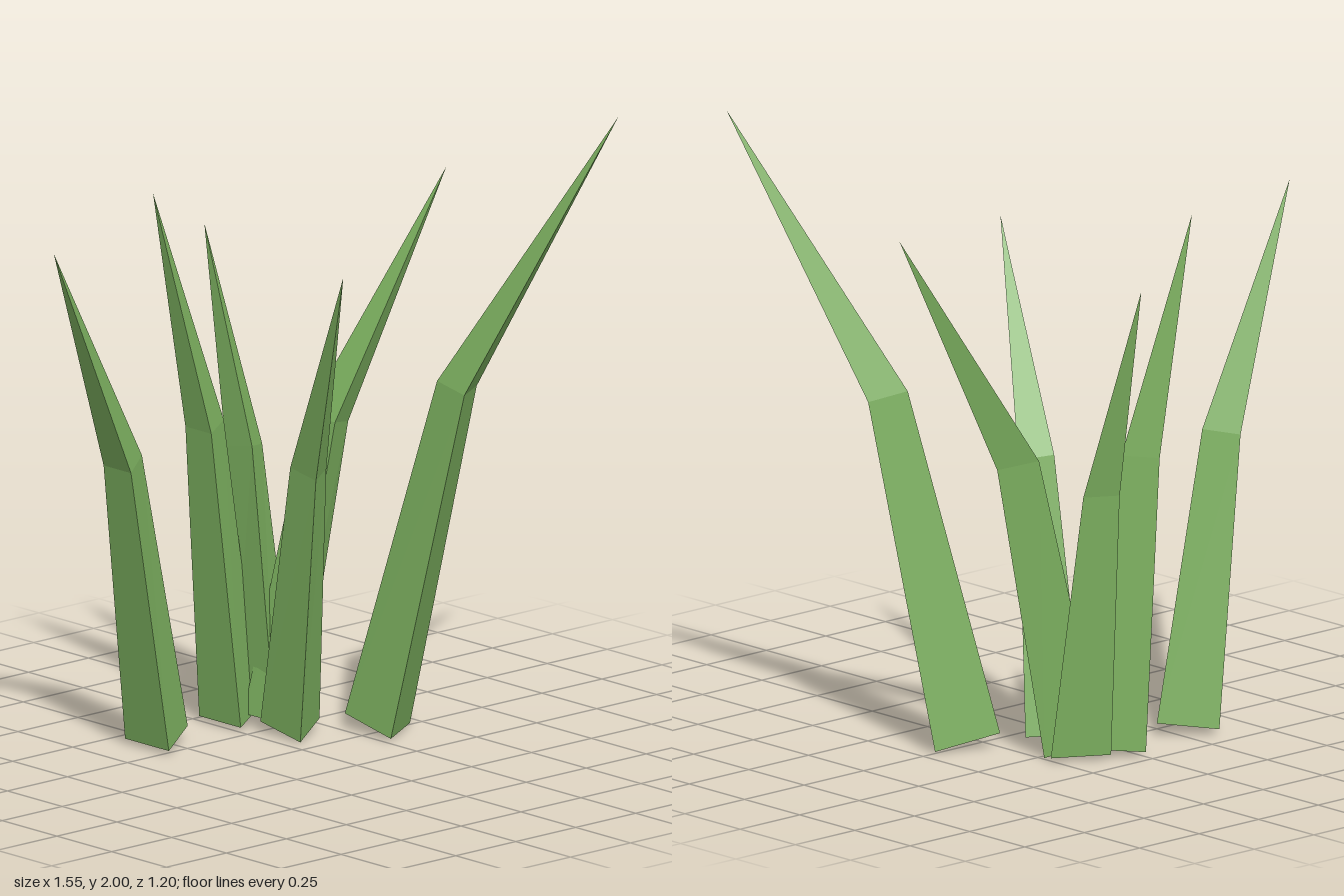
import * as THREE from 'three';

// Each blade: triangular base, triangular bend section (flat edge, flat edge, ridge), then a tip.
const BLADES = [
  { name: 'leftLeaningBlade',
    base: [[-0.35, 0.02, -0.425], [-0.35, 0.02, -0.225], [-0.18, 0.05, -0.325]],
    bend: [[-0.485, 0.925, -0.375], [-0.485, 0.925, -0.25], [-0.38, 0.95, -0.315]],
    tip: [-0.775, 1.67, -0.285] },
  { name: 'tallFrontBlade',
    base: [[0.45, 0.01, 0], [0.265, 0.015, 0.115], [0.265, 0.055, -0.095]],
    bend: [[0.55, 1.105, 0.195], [0.43, 1.11, 0.27], [0.435, 1.13, 0.14]],
    tip: [0.775, 2, 0.595] },
  { name: 'rightLeaningBlade',
    base: [[0.07, 0.04, -0.345], [0.078, 0.04, -0.168], [0.24, 0.005, -0.268]],
    bend: [[0.285, 0.965, -0.293], [0.285, 0.965, -0.162], [0.39, 0.94, -0.217]],
    tip: [0.715, 1.71, -0.125] },
  { name: 'frontLeaningBlade',
    base: [[0.045, 0.04, -0.24], [0.205, 0.04, -0.145], [0.043, 0.01, -0.055]],
    bend: [[0.01, 0.89, -0.065], [0.11, 0.88, -0.01], [0.012, 0.87, 0.05]],
    tip: [-0.07, 1.575, 0.265] },
  { name: 'backLeftBlade',
    base: [[0, 0.02, -0.47], [0, 0.02, -0.28], [0.165, 0.04, -0.375]],
    bend: [[-0.05, 0.95, -0.478], [-0.05, 0.95, -0.36], [0.055, 0.965, -0.418]],
    tip: [-0.165, 1.71, -0.5] },
  { name: 'backLeaningBlade',
    base: [[0.265, 0.02, -0.325], [0.1, 0.02, -0.42], [0.1, 0.04, -0.235]],
    bend: [[0.215, 0.86, -0.418], [0.115, 0.86, -0.475], [0.12, 0.88, -0.36]],
    tip: [0.14, 1.54, -0.6] },
];

// Closed, faceted blade; sections are put in counter-clockwise order as seen from above
function bladeGeometry({ base, bend, tip }) {
  const [a, b, c] = base;
  const turn = (b[2] - a[2]) * (c[0] - a[0]) - (b[0] - a[0]) * (c[2] - a[2]);
  const order = turn > 0 ? [0, 1, 2] : [0, 2, 1];
  const lo = order.map((i) => base[i]);
  const hi = order.map((i) => bend[i]);
  const tris = [lo[0], lo[2], lo[1]];
  for (let i = 0; i < 3; i++) {
    const j = (i + 1) % 3;
    tris.push(lo[i], lo[j], hi[j], lo[i], hi[j], hi[i], hi[i], hi[j], tip);
  }
  const geometry = new THREE.BufferGeometry();
  geometry.setAttribute('position', new THREE.Float32BufferAttribute(tris.flat(), 3));
  geometry.computeVertexNormals();
  return geometry;
}

export function createModel() {
  const group = new THREE.Group();
  group.name = 'grassTuft';
  const leafGreen = new THREE.MeshStandardMaterial({ color: 0x7cb05f });
  leafGreen.name = 'leafGreen';
  for (const blade of BLADES) {
    const mesh = new THREE.Mesh(bladeGeometry(blade), leafGreen);
    mesh.name = blade.name;
    group.add(mesh);
  }
  return group;
}
